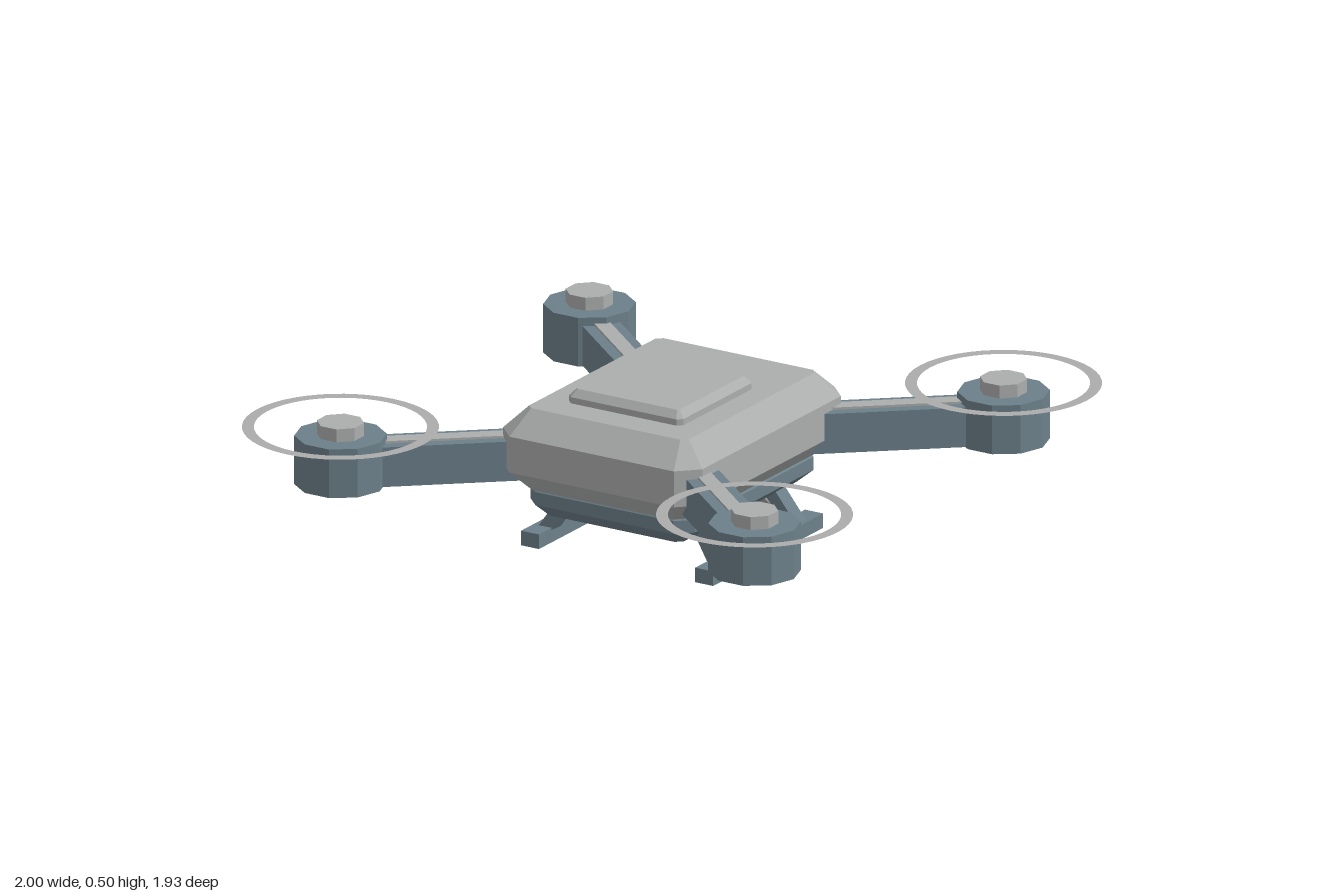
import * as THREE from 'three';

function material(name, color) {
  const m = new THREE.MeshStandardMaterial({ color });
  m.name = name;
  return m;
}

// Octagonal outline: a rectangle with cut corners, ordered from front to +x
function outline([y, hx, hz, c]) {
  return [
    [hx - c, hz], [hx, hz - c], [hx, c - hz], [hx - c, -hz],
    [c - hx, -hz], [-hx, c - hz], [-hx, hz - c], [c - hx, hz],
  ].map(([x, z]) => [x, y, z]);
}

// Faceted shell through levels of [y, halfWidth, halfDepth, cornerCut], bottom to top
function shell(levels) {
  const rings = levels.map(outline);
  const pos = [];
  const tri = (...pts) => pts.forEach((p) => pos.push(...p));
  for (let r = 0; r < rings.length - 1; r++) {
    const a = rings[r], b = rings[r + 1];
    for (let i = 0; i < 8; i++) {
      const j = (i + 1) % 8;
      tri(a[i], a[j], b[j]);
      tri(a[i], b[j], b[i]);
    }
  }
  const bottom = rings[0], top = rings[rings.length - 1];
  for (let i = 1; i < 7; i++) {
    tri(top[0], top[i], top[i + 1]);
    tri(bottom[0], bottom[i + 1], bottom[i]);
  }
  const g = new THREE.BufferGeometry();
  g.setAttribute('position', new THREE.Float32BufferAttribute(pos, 3));
  g.computeVertexNormals();
  return g;
}

export function createModel() {
  const model = new THREE.Group();
  model.name = 'quadcopter';

  const grey = material('light grey', 0xacadad);
  const steel = material('blue grey', 0x6c808a);
  const blue = material('panel blue', 0x4a86a3);
  const ringGrey = material('rotor grey', 0xacacac);
  ringGrey.side = THREE.DoubleSide;
  grey.flatShading = steel.flatShading = true;

  const add = (parent, name, geometry, mat, x = 0, y = 0, z = 0) => {
    const mesh = new THREE.Mesh(geometry, mat);
    mesh.name = name;
    mesh.position.set(x, y, z);
    parent.add(mesh);
    return mesh;
  };
  const box = (w, h, d) => new THREE.BoxGeometry(w, h, d);

  // Body, top hatch and lower tray
  add(model, 'body', shell([
    [0.212, 0.285, 0.38, 0.045],
    [0.275, 0.343, 0.437, 0.06],
    [0.386, 0.343, 0.437, 0.06],
    [0.456, 0.275, 0.36, 0.018],
  ]), grey);
  add(model, 'topHatch', shell([
    [0.45, 0.197, 0.2, 0.015],
    [0.475, 0.197, 0.2, 0.015],
    [0.497, 0.177, 0.18, 0.006],
  ]), grey, 0, 0, 0.063);
  add(model, 'lowerTray', shell([
    [0.122, 0.235, 0.325, 0.02],
    [0.163, 0.283, 0.368, 0.045],
    [0.203, 0.283, 0.368, 0.045],
    [0.225, 0.255, 0.345, 0.04],
  ]), steel);
  add(model, 'rearPanel', box(0.19, 0.07, 0.03), blue, -0.003, 0.333, -0.445);

  // Four arms with motors
  const hub = new THREE.Vector2(0.713, 0.677);
  const root = new THREE.Vector2(0.27, 0.3);
  const length = hub.distanceTo(root);
  for (const sx of [1, -1]) {
    for (const sz of [1, -1]) {
      const arm = new THREE.Group();
      arm.name = (sz > 0 ? 'front' : 'rear') + (sx > 0 ? 'Left' : 'Right') + 'Arm';
      model.add(arm);

      const beam = new THREE.Group();
      beam.name = 'armBeam';
      beam.position.set(sx * (hub.x + root.x) / 2, 0, sz * (hub.y + root.y) / 2);
      beam.rotation.y = Math.atan2(sx * (hub.x - root.x), sz * (hub.y - root.y));
      arm.add(beam);
      add(beam, 'armSpar', box(0.115, 0.122, length), steel, 0, 0.296, 0);
      add(beam, 'armTopStrip', box(0.048, 0.016, length), grey, 0, 0.356, 0);

      const x = sx * hub.x, z = sz * hub.y;
      const motor = add(arm, 'motorHousing',
        new THREE.CylinderGeometry(0.135, 0.135, 0.15, 10), steel, x, 0.308, z);
      motor.rotation.y = Math.PI / 2;
      const cap = add(arm, 'motorCap',
        new THREE.CylinderGeometry(0.07, 0.07, 0.05, 8), grey, x, 0.398, z);
      cap.rotation.y = Math.PI / 8;

      // Flat rotor ring, absent on the rear right arm
      if (sx > 0 || sz > 0) {
        const ring = add(arm, 'rotorRing', new THREE.RingGeometry(0.252, 0.287, 48), ringGrey, x, 0.407, z);
        ring.rotation.x = -Math.PI / 2;
      }
    }
  }

  // Landing skids on splayed struts
  const up = new THREE.Vector3(0, 1, 0);
  for (const s of [1, -1]) {
    const side = s > 0 ? 'left' : 'right';
    add(model, side + 'Skid', box(0.062, 0.045, 0.597), steel, s * 0.3, 0.0225, 0);
    for (const e of [1, -1]) {
      const foot = new THREE.Vector3(s * 0.298, 0.03, e * 0.207);
      const top = new THREE.Vector3(s * 0.22, 0.145, e * 0.192);
      const dir = top.clone().sub(foot);
      const strut = add(model, side + 'Strut', box(0.04, dir.length(), 0.05), steel);
      strut.position.copy(foot).lerp(top, 0.5);
      strut.quaternion.setFromUnitVectors(up, dir.normalize());
    }
    // Tilted sensor beside the camera
    const sensor = add(model, side + 'Sensor', box(0.033, 0.035, 0.08), grey, s * 0.179, 0.096, -0.222);
    sensor.rotation.x = -0.7;
  }

  // Belly camera
  add(model, 'camera', box(0.07, 0.065, 0.075), steel, 0, 0.097, -0.142);

  return model;
}
